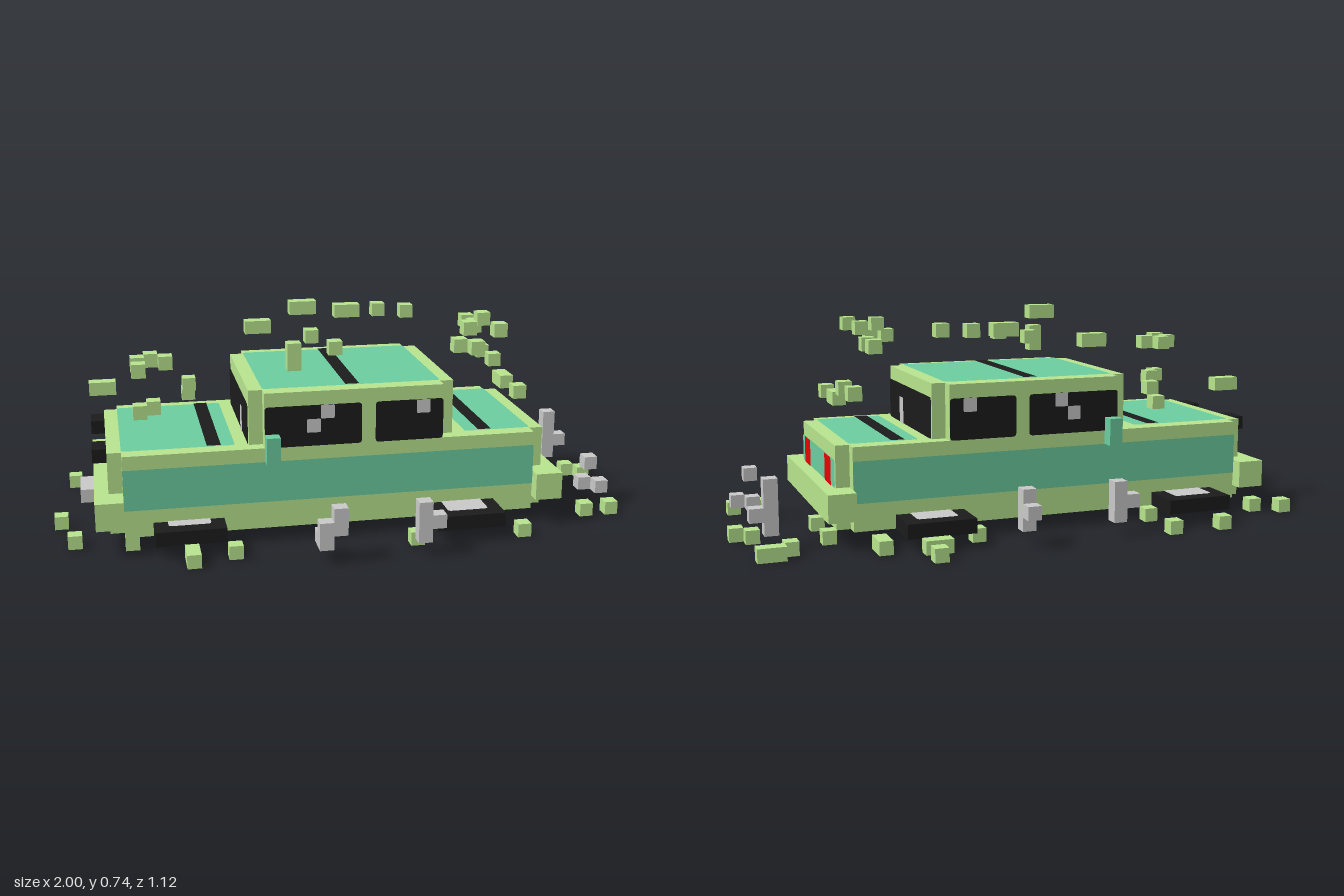
import * as THREE from 'three';

// Everything sits on a cube grid of 43 x 16 x 24 cells
const U = 2 / 43;
const LIFT = 0.003;
const mat = (name, color) => {
  const m = new THREE.MeshStandardMaterial({ color });
  m.name = name;
  return m;
};

export function createModel() {
  const root = new THREE.Group();
  root.name = 'blockCar';
  const green = mat('light green', 0xb7e38d);
  const teal = mat('teal', 0x6ccc9f);
  const black = mat('black', 0x1b1b1b);
  const grey = mat('grey', 0xc8c8c8);
  const red = mat('red', 0xe60404);

  const X = (i) => -1 + i * U;
  const Y = (j) => j * U;
  const Z = (k) => (k - 12) * U;

  // Box between two grid corners
  function block(name, m, x0, x1, y0, y1, z0, z1, parent = root) {
    const g = new THREE.BoxGeometry((x1 - x0) * U, (y1 - y0) * U, (z1 - z0) * U);
    const b = new THREE.Mesh(g, m);
    b.position.set(X((x0 + x1) / 2), Y((y0 + y1) / 2), Z((z0 + z1) / 2));
    b.name = name;
    parent.add(b);
  }

  // Box whose vertical edges are notched by one cell
  function notched(name, m, x0, x1, y0, y1, z0, z1) {
    const pts = [
      [x0 + 1, z0], [x1 - 1, z0], [x1 - 1, z0 + 1], [x1, z0 + 1], [x1, z1 - 1], [x1 - 1, z1 - 1],
      [x1 - 1, z1], [x0 + 1, z1], [x0 + 1, z1 - 1], [x0, z1 - 1], [x0, z0 + 1], [x0 + 1, z0 + 1],
    ];
    const s = new THREE.Shape(pts.map(([x, z]) => new THREE.Vector2(X(x), -Z(z))));
    const g = new THREE.ExtrudeGeometry(s, { depth: (y1 - y0) * U, bevelEnabled: false });
    g.rotateX(-Math.PI / 2);
    const b = new THREE.Mesh(g, m);
    b.position.y = Y(y0);
    b.name = name;
    root.add(b);
  }

  // Painted panel with softly rounded corners, facing along one axis
  function panel(name, m, dir, at, a0, a1, b0, b1, lift = LIFT, r = 0.012) {
    const w = (a1 - a0) * U / 2, h = (b1 - b0) * U / 2;
    const s = new THREE.Shape();
    s.moveTo(-w + r, -h);
    s.lineTo(w - r, -h); s.quadraticCurveTo(w, -h, w, -h + r);
    s.lineTo(w, h - r); s.quadraticCurveTo(w, h, w - r, h);
    s.lineTo(-w + r, h); s.quadraticCurveTo(-w, h, -w, h - r);
    s.lineTo(-w, -h + r); s.quadraticCurveTo(-w, -h, -w + r, -h);
    const p = new THREE.Mesh(new THREE.ShapeGeometry(s, 3), m);
    const a = (a0 + a1) / 2, b = (b0 + b1) / 2;
    const sign = dir[0] === '+' ? 1 : -1;
    if (dir[1] === 'x') {
      p.rotation.y = sign * Math.PI / 2;
      p.position.set(X(at) + sign * lift, Y(b), Z(a));
    } else if (dir[1] === 'y') {
      p.rotation.x = -sign * Math.PI / 2;
      p.position.set(X(a), Y(at) + sign * lift, Z(b));
    } else {
      if (sign < 0) p.rotation.y = Math.PI;
      p.position.set(X(a), Y(b), Z(at) + sign * lift);
    }
    p.name = name;
    root.add(p);
  }

  // Body, cabin and wrap-round bumpers
  notched('body', green, 4, 36, 1, 7, 6, 19);
  notched('cabin', green, 14, 29, 7, 11, 6, 19);
  block('rearBumper', green, 35, 37, 2, 4, 5, 20);
  block('noseBumper', green, 3, 5, 2, 4, 5, 20);

  // Teal paint on the top faces, underside and ends
  panel('hoodPaint', teal, '+y', 7, 5, 13, 7, 18);
  panel('roofPaint', teal, '+y', 11, 15, 28, 7, 18);
  panel('trunkPaint', teal, '+y', 7, 30, 35, 7, 18);
  panel('underPaint', teal, '-y', 1, 5, 35, 7, 18, 0.001);
  panel('endPaint', teal, '+x', 36, 7, 18, 4, 6);
  panel('endPaint', teal, '-x', 4, 7, 18, 4, 6);

  // Dark stripes across the tops
  for (const [x, y] of [[11, 7], [21, 11], [31, 7]])
    panel('stripe', black, '+y', y, x, x + 1, 7, 18, 0.006, 0.001);

  // Flank paint, side windows with glints, and mirrors
  for (const [dir, z] of [['+z', 19], ['-z', 6]]) {
    panel('flankPaint', teal, dir, z, 5, 35, 3, 6, LIFT, 0.003);
    panel('sideWindow', black, dir, z, 15, 22, 7, 10);
    panel('sideWindow', black, dir, z, 23, 28, 7, 10);
    for (const [x, y] of [[18, 8], [19, 9], [26, 9]])
      panel('windowGlint', grey, dir, z, x, x + 1, y, y + 1, 0.006, 0.004);
    const z0 = dir === '+z' ? 19 : 5;
    block('mirror', teal, 15, 16, 6, 8, z0, z0 + 1);
  }

  // Windscreens
  for (const [dir, x] of [['+x', 29], ['-x', 14]]) {
    panel('windscreen', black, dir, x, 7, 18, 7, 10);
    panel('windscreenGlint', grey, dir, x, 14, 15, 7, 9, 0.006, 0.004);
  }

  // Tail lamps, headlamps, lower lamps and plate
  for (const z of [8, 15]) {
    panel('tailLamp', red, '+x', 36, z, z + 2, 4, 6, 0.006, 0.001);
    panel('lowerLamp', grey, '-x', 4, z, z + 2, 4, 6, 0.006, 0.001);
    block('headlamp', black, 3, 4, 6, 7, z, z + 2);
  }
  block('numberPlate', grey, 2, 3, 2, 3, 11, 14);

  // Flat-lying wheels with hubs on both faces
  for (const [x, z] of [[7, 16], [27, 17], [7, 3], [27, 3]]) {
    block('wheel', black, x, x + 5, 0.95, 2, z, z + 5);
    panel('hub', grey, '+y', 2, x + 1, x + 4, z + 1, z + 4, 0.002);
    panel('hub', grey, '-y', 0.95, x + 1, x + 4, z + 1, z + 4, 0.002);
  }

  // Grey loose chunks: x, y0, y1, z
  const chunks = new THREE.Group();
  chunks.name = 'greyChunks';
  root.add(chunks);
  for (const [x, y0, y1, z] of [
    [18, 1, 2, 22], [18, 1, 3, 23], [19, 2, 4, 23], [25, 1, 4, 23], [26, 2, 3, 23],
    [15, 2, 3, 2], [16, 1, 4, 2], [23, 1, 4, 2], [23, 2, 3, 1],
    [40, 1, 5, 7], [41, 2, 3, 7], [40, 1, 2, 15], [41, 1, 2, 16], [40, 3, 4, 16],
  ]) block('greyChunk', grey, x, x + 1, y0, y1, z, z + 1, chunks);

  // Green cubes scattered on the ground: x, z
  const ground = new THREE.Group();
  ground.name = 'groundCubes';
  root.add(ground);
  for (const [x, z] of [
    [1, 4], [8, 1], [12, 1], [12, 5], [0, 13], [1, 17], [9, 21], [9, 22], [12, 21], [25, 21], [26, 4],
    [30, 0], [29, 2], [30, 2], [33, 3], [33, 4], [33, 21], [39, 5], [40, 4], [41, 4], [41, 9], [42, 10],
    [39, 18], [41, 18], [3, 5], [5, 18], [36, 7], [36, 11],
  ]) block('groundCube', green, x, x + 1, 0, 1, z, z + 1, ground);

  // Green cubes floating above: x, y, z
  const floating = new THREE.Group();
  floating.name = 'floatingCubes';
  root.add(floating);
  for (const [x, y, z] of [
    [18, 15, 11], [19, 15, 11], [22, 14, 8], [23, 14, 8], [25, 14, 8], [27, 14, 9],
    [30, 14, 16], [32, 14, 13], [32, 14, 17], [15, 13, 8], [16, 13, 8], [17, 13, 16], [17, 12, 16],
    [19, 13, 12], [20, 13, 16], [29, 13, 17], [30, 13, 18], [32, 13, 9], [32, 13, 11],
    [6, 12, 14], [7, 12, 13], [8, 12, 14], [6, 12, 16], [10, 8, 8], [10, 9, 9],
    [3, 9, 9], [4, 9, 9], [6, 9, 16], [7, 9, 15],
    [34, 9, 16], [34, 9, 12], [34, 9, 13], [34, 10, 10], [34, 10, 7],
  ]) block('floatingCube', green, x, x + 1, y, y + 1, z, z + 1, floating);

  return root;
}
